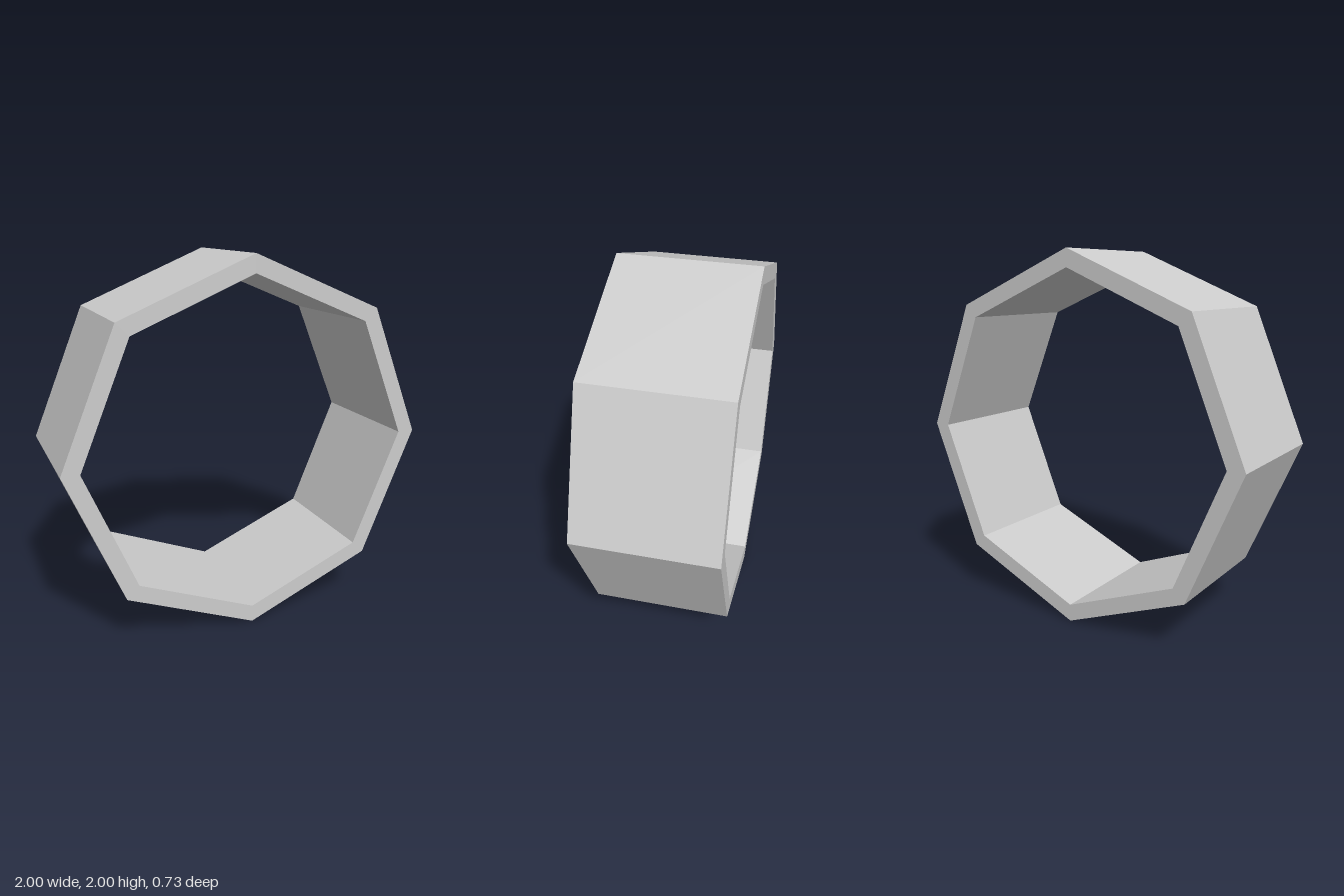
import * as THREE from 'three';

const SIDES = 8;
const OUTER = 1;
const INNER = 0.905;
const DEPTH = 0.725;

// Corners of a regular polygon with one corner pointing up
function corners(radius) {
  return Array.from({ length: SIDES }, (_, i) => {
    const a = Math.PI / 2 + (i / SIDES) * Math.PI * 2;
    return new THREE.Vector2(Math.cos(a) * radius, Math.sin(a) * radius);
  });
}

export function createModel() {
  const group = new THREE.Group();
  group.name = 'octagonalRing';

  // Octagonal band with an octagonal opening, extruded along z
  const shape = new THREE.Shape(corners(OUTER));
  shape.holes.push(new THREE.Path(corners(INNER).reverse()));
  const geometry = new THREE.ExtrudeGeometry(shape, { depth: DEPTH, bevelEnabled: false });
  geometry.translate(0, OUTER, -DEPTH / 2);

  const material = new THREE.MeshStandardMaterial({ color: 0xcccccc, flatShading: true });
  const ring = new THREE.Mesh(geometry, material);
  ring.name = 'ringBand';
  group.add(ring);

  return group;
}
